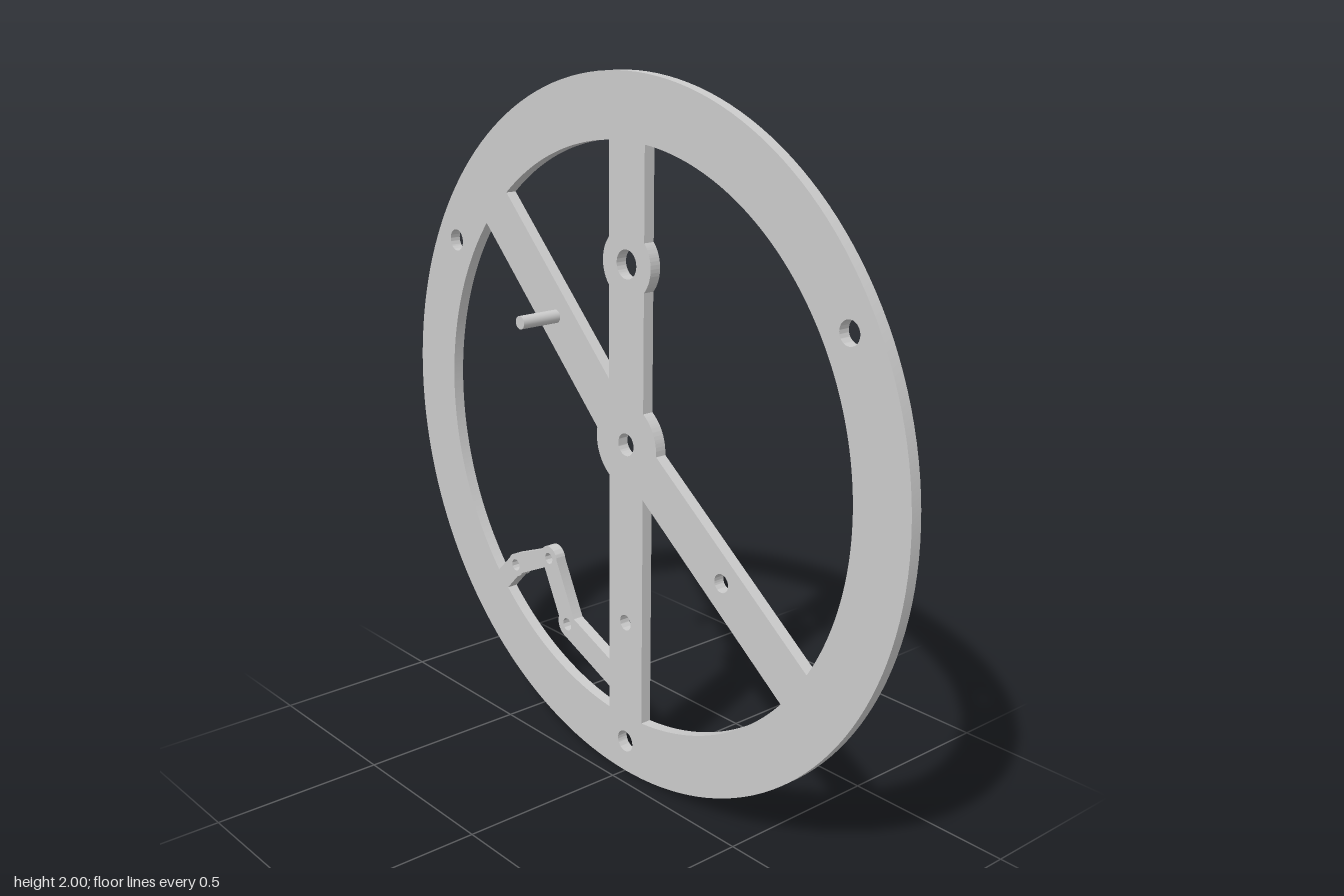
import * as THREE from 'three';
import { toCreasedNormals } from 'three/addons/utils/BufferGeometryUtils.js';

const BACK = -0.08, FRONT = -0.047, TIP = 0.08; // z levels
const RIM = 0.823, HUB = 0.125, HALF = 0.071; // rim inner radius, hub radius, spoke half width
const rad = THREE.MathUtils.degToRad;
const UP = 90, UPPER = 135, DOWN = 270, LOWER = 323; // spoke directions in degrees

// angle (degrees) at which a spoke's edge crosses a circle of radius r round the hub
const edge = (dir, side, r) => dir + side * THREE.MathUtils.radToDeg(Math.asin(HALF / r));
// steps of an outline: point, or arc (clockwise when the end angle is smaller)
const pt = (x, y) => (p) => (p.currentPoint.length() || p.curves.length ? p.lineTo(x, y) : p.moveTo(x, y));
const arc = (x, y, r, a, b) => (p) => p.absarc(x, y, r, rad(a), rad(b), b < a);
// inner corner where two neighbouring spokes meet
const corner = (a, b) => {
  const d = HALF / Math.sin(rad((b - a) / 2)), m = rad((a + b) / 2);
  return pt(d * Math.cos(m), d * Math.sin(m));
};
// half of the round boss on the upright spoke, on the +x (1) or -x (-1) side
const bossArc = (side) => {
  const r = 0.097, a = THREE.MathUtils.radToDeg(Math.acos(HALF / r));
  return side > 0 ? arc(0, 0.5, r, -a, a) : arc(0, 0.5, r, 180 - a, 180 + a);
};

function outline(steps) {
  const path = new THREE.Path();
  steps.forEach((step) => step(path));
  path.closePath();
  return path;
}

function createPlate() {
  const shape = new THREE.Shape();
  shape.absarc(0, 0, 1, 0, Math.PI * 2);

  // joints of the small linkage bracket
  const A = [-0.519, -0.513], B = [-0.353, -0.441], C = [-0.267, -0.626];

  const windows = [
    // right window
    [
      arc(0, 0, RIM, edge(UP, -1, RIM), edge(LOWER - 360, 1, RIM)),
      arc(0, 0, HUB, edge(LOWER - 360, 1, HUB), edge(UP, -1, HUB)),
      bossArc(1),
    ],
    // upper left window
    [
      arc(0, 0, RIM, edge(UPPER, -1, RIM), edge(UP, 1, RIM)),
      bossArc(-1),
      corner(UP, UPPER),
    ],
    // lower right window
    [
      arc(0, 0, RIM, edge(DOWN, 1, RIM), edge(LOWER, -1, RIM)),
      corner(DOWN, LOWER),
    ],
    // left window, above the bracket
    [
      arc(0, 0, RIM, edge(UPPER, 1, RIM), 222.4),
      arc(...A, 0.035, 155, 113),
      arc(...B, 0.038, 150, 5),
      pt(-0.235, -0.599),
      pt(-HALF, -0.668),
      arc(0, 0, HUB, edge(DOWN, -1, HUB), edge(UPPER, 1, HUB)),
    ],
    // left window, below the bracket
    [
      arc(0, 0, RIM, 226.9, edge(DOWN, -1, RIM)),
      pt(-HALF, -0.754),
      arc(...C, 0.042, 248, 160),
      pt(-0.374, -0.476),
      arc(...A, 0.035, -30, -75),
    ],
  ];
  windows.forEach((steps) => shape.holes.push(outline(steps)));

  // drilled holes: x, y, radius
  [
    [0, 0, 0.032], [0, 0.5, 0.04], [0, -0.53, 0.023], [0.385, -0.288, 0.026],
    [-0.787, 0.458, 0.032], [0.787, 0.458, 0.032], [0, -0.905, 0.032],
    [...A, 0.018], [...B, 0.017], [...C, 0.019],
  ].forEach(([x, y, r]) => shape.holes.push(outline([arc(x, y, r, 0, 360)])));

  const geometry = new THREE.ExtrudeGeometry(shape, {
    depth: FRONT - BACK, bevelEnabled: false, curveSegments: 80,
  });
  return toCreasedNormals(geometry, rad(30));
}

export function createModel() {
  const group = new THREE.Group();
  const material = new THREE.MeshStandardMaterial({ color: 0xcccccc });

  // spoked wheel plate with linkage bracket
  const plate = new THREE.Mesh(createPlate(), material);
  plate.name = 'spokedPlate';
  plate.position.set(0, 1, BACK);

  // crank pin standing out of the upper left spoke
  const length = TIP - FRONT + 0.01;
  const pin = new THREE.Mesh(new THREE.CylinderGeometry(0.019, 0.019, length, 32), material);
  pin.name = 'crankPin';
  pin.rotation.x = Math.PI / 2;
  pin.position.set(-0.305, 1.307, TIP - length / 2);

  group.add(plate, pin);
  return group;
}
